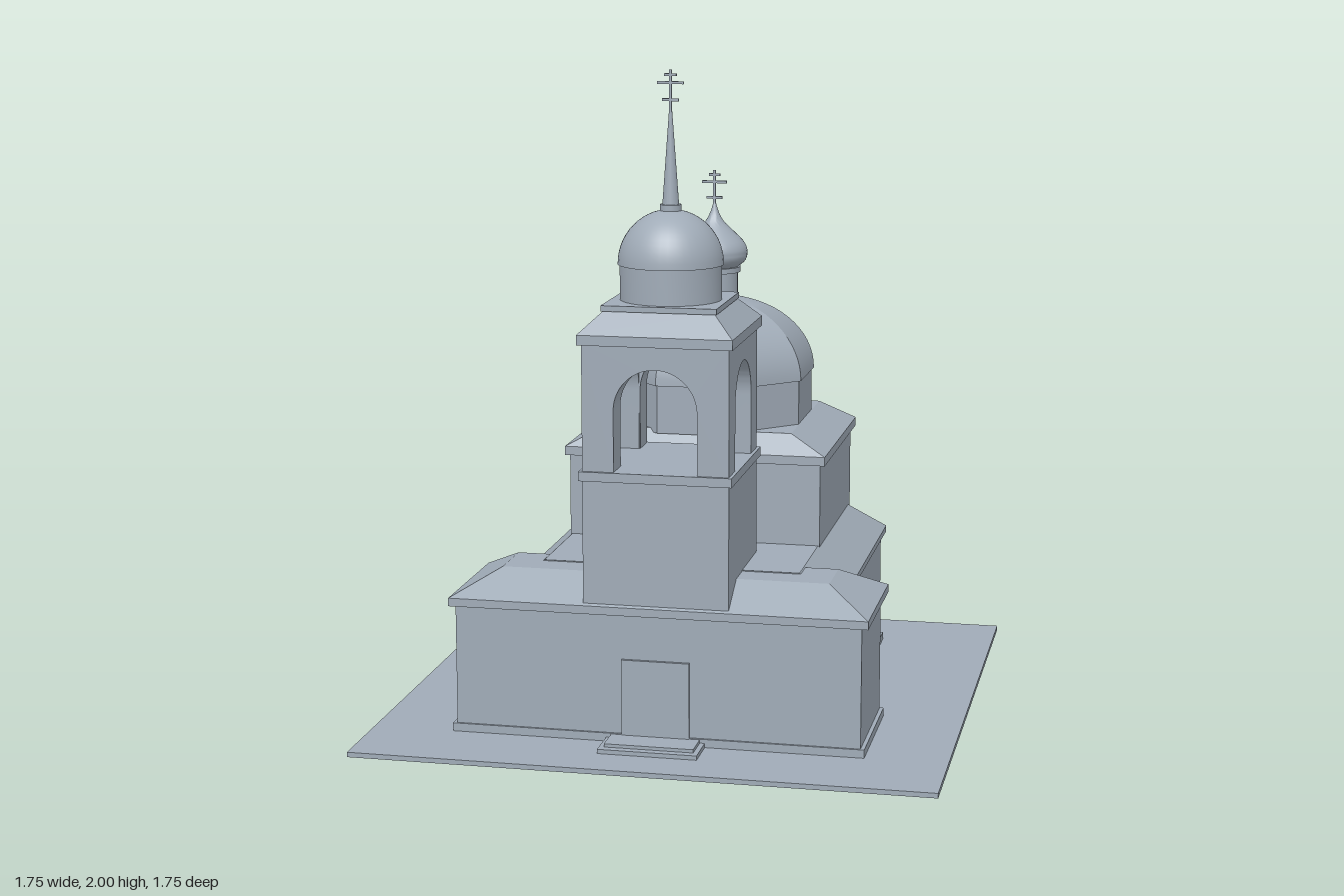
import * as THREE from 'three';
import { toCreasedNormals } from 'three/addons/utils/BufferGeometryUtils.js';

export function createModel() {
  const model = new THREE.Group();
  const stone = new THREE.MeshStandardMaterial({ color: 0xa0abb7 });
  stone.name = 'blue grey stone';

  function add(name, geometry, parent = model) {
    const mesh = new THREE.Mesh(geometry, stone);
    mesh.name = name;
    parent.add(mesh);
    return mesh;
  }
  // Box symmetric in x, spanning z0..z1 and y0..y1
  function block(name, hx, z0, z1, y0, y1, parent) {
    const g = new THREE.BoxGeometry(2 * hx, y1 - y0, z1 - z0);
    g.translate(0, (y0 + y1) / 2, (z0 + z1) / 2);
    return add(name, g, parent);
  }
  // Hipped roof: a box whose top face is replaced by a smaller rectangle
  function hipRoof(name, bottom, top) {
    const [bx, bz0, bz1, by] = bottom, [tx, tz0, tz1, ty] = top;
    const g = new THREE.BoxGeometry(2, 2, 2), p = g.attributes.position;
    for (let i = 0; i < p.count; i++) {
      const up = p.getY(i) > 0, front = p.getZ(i) > 0;
      p.setXYZ(i, p.getX(i) * (up ? tx : bx), up ? ty : by,
        up ? (front ? tz1 : tz0) : (front ? bz1 : bz0));
    }
    g.computeVertexNormals();
    return add(name, g);
  }
  // Turned part around a vertical axis at depth z
  function turned(name, z, profile, segments = 40, crease = 0.5, start = 0) {
    const pts = profile.map(([r, y]) => new THREE.Vector2(r, y));
    const g = toCreasedNormals(new THREE.LatheGeometry(pts, segments, start), crease);
    g.translate(0, 0, z);
    return add(name, g);
  }
  // Quarter ellipse profile for domes
  function arc(r, y, h, end = 1, steps = 14) {
    return Array.from({ length: steps + 1 }, (_, i) => {
      const t = (i / steps) * end * Math.PI / 2;
      return [Math.max(r * Math.cos(t), 0), y + h * Math.sin(t)];
    });
  }
  // Cross with three bars
  function cross(name, z, y0) {
    const group = new THREE.Group();
    group.name = name;
    const w = 0.004;
    block('crossPost', w, z - w, z + w, y0 - 0.02, y0 + 0.11, group);
    for (const [half, y] of [[0.018, 0.095], [0.04, 0.072], [0.025, 0.022]]) {
      block('crossBar', half, z - w, z + w, y0 + y - w, y0 + y + w, group);
    }
    model.add(group);
  }

  // Ground, steps and door
  block('groundSlab', 0.875, -0.875, 0.875, 0, 0.015);
  block('lowerStep', 0.15, 0.6, 0.735, 0.015, 0.028);
  block('upperStep', 0.135, 0.6, 0.71, 0.028, 0.038);
  block('door', 0.103, 0.6, 0.62, 0.038, 0.27);

  // Front hall
  block('hallPlinth', 0.627, 0.203, 0.617, 0.015, 0.04);
  block('hallWalls', 0.615, 0.21, 0.61, 0.015, 0.41);
  block('hallCornice', 0.635, 0.19, 0.62, 0.405, 0.43);
  hipRoof('hallRoof', [0.635, 0.19, 0.62, 0.43], [0.5, 0.318, 0.492, 0.503]);

  // Nave
  block('navePlinth', 0.51, -0.63, 0.3, 0.015, 0.04);
  block('naveWalls', 0.5, -0.62, 0.3, 0.015, 0.39);
  block('naveCornice', 0.515, -0.64, 0.3, 0.39, 0.41);
  hipRoof('naveRoof', [0.515, -0.64, 0.4, 0.41], [0.395, -0.53, 0.4, 0.506]);

  // Rounded apse
  const apseZ = -0.56;
  turned('apsePlinth', apseZ, [[0.295, 0.015], [0.295, 0.04], [0.285, 0.04]], 64);
  turned('apseWall', apseZ, [[0.288, 0.015], [0.288, 0.4]], 64);
  turned('apseRoof', apseZ, [[0.28, 0.395], [0.302, 0.395], [0.302, 0.412],
    [0.25, 0.443], [0.19, 0.469], [0.14, 0.483], [0.08, 0.494], [0, 0.497]], 64);

  // Upper cube
  block('cubeWalls', 0.4, -0.57, 0.06, 0.4, 0.77);
  block('cubeCornice', 0.415, -0.585, 0.067, 0.762, 0.79);
  hipRoof('cubeRoof', [0.415, -0.585, 0.067, 0.79], [0.3, -0.535, 0.012, 0.85]);

  // Octagonal drum and dome
  const domeZ = -0.26, corner = 1 / Math.cos(Math.PI / 8), turn = Math.PI / 8;
  turned('octagonDrum', domeZ,
    [[0, 0.838], [0.298 * corner, 0.838], [0.298 * corner, 0.995]], 8, 0.35, turn);
  turned('octagonDome', domeZ,
    [[0.28, 0.99], ...arc(0.305 * corner, 0.99, 0.25, 0.83), [0, 1.235]], 8, 0.3, turn);

  // Neck, onion and cross
  turned('onionNeck', domeZ, [[0.075, 1.22], [0.075, 1.315], [0.084, 1.315],
    [0.084, 1.332], [0.05, 1.332]]);
  const onion = new THREE.SplineCurve([[0.07, 1.328], [0.098, 1.35], [0.106, 1.378],
    [0.096, 1.408], [0.066, 1.44], [0.033, 1.472], [0.015, 1.502], [0.003, 1.54]]
    .map(([r, y]) => new THREE.Vector2(r, y)));
  turned('onionDome', domeZ, onion.getPoints(24).map(p => [p.x, p.y]));
  cross('rearCross', domeZ, 1.53);

  // Bell tower
  const towerZ = 0.39;
  const tier = (name, h, y0, y1) => block(name, h, towerZ - h, towerZ + h, y0, y1);
  tier('towerBase', 0.22, 0.43, 0.815);
  tier('towerBand', 0.23, 0.808, 0.836);

  // Belfry: four walls with arched openings
  const half = 0.22, thick = 0.092, opening = 0.125, spring = 1.02;
  const belfry = new THREE.Group();
  belfry.name = 'belfry';
  belfry.position.z = towerZ;
  for (let i = 0; i < 4; i++) {
    // alternate walls are full width, the others fit between them
    const w = i % 2 ? half - thick : half;
    const wall = new THREE.Shape();
    wall.moveTo(-w, 0.83);
    wall.lineTo(-opening, 0.83);
    wall.lineTo(-opening, spring);
    wall.absarc(0, spring, opening, Math.PI, 0, true);
    wall.lineTo(opening, 0.83);
    wall.lineTo(w, 0.83);
    wall.lineTo(w, 1.22);
    wall.lineTo(-w, 1.22);
    const g = new THREE.ExtrudeGeometry(wall,
      { depth: thick, bevelEnabled: false, curveSegments: 24 });
    g.translate(0, 0, half - thick);
    g.rotateY(i * Math.PI / 2);
    add('archedWall', toCreasedNormals(g, 0.5), belfry);
  }
  model.add(belfry);

  tier('towerCornice', 0.232, 1.213, 1.243);
  hipRoof('towerRoof', [0.232, towerZ - 0.232, towerZ + 0.232, 1.243],
    [0.165, towerZ - 0.165, towerZ + 0.165, 1.308]);
  tier('towerCap', 0.173, 1.306, 1.323);

  // Tower dome, spire and cross
  turned('towerDrum', towerZ, [[0.152, 1.32], [0.152, 1.432]]);
  turned('towerDome', towerZ, [[0.14, 1.428], ...arc(0.158, 1.428, 0.162)]);
  turned('spireCollar', towerZ, [[0.032, 1.58], [0.032, 1.605], [0, 1.605]], 24);
  turned('spire', towerZ, [[0.025, 1.6], [0.004, 1.89], [0, 1.89]], 24);
  cross('towerCross', towerZ, 1.89);

  return model;
}
